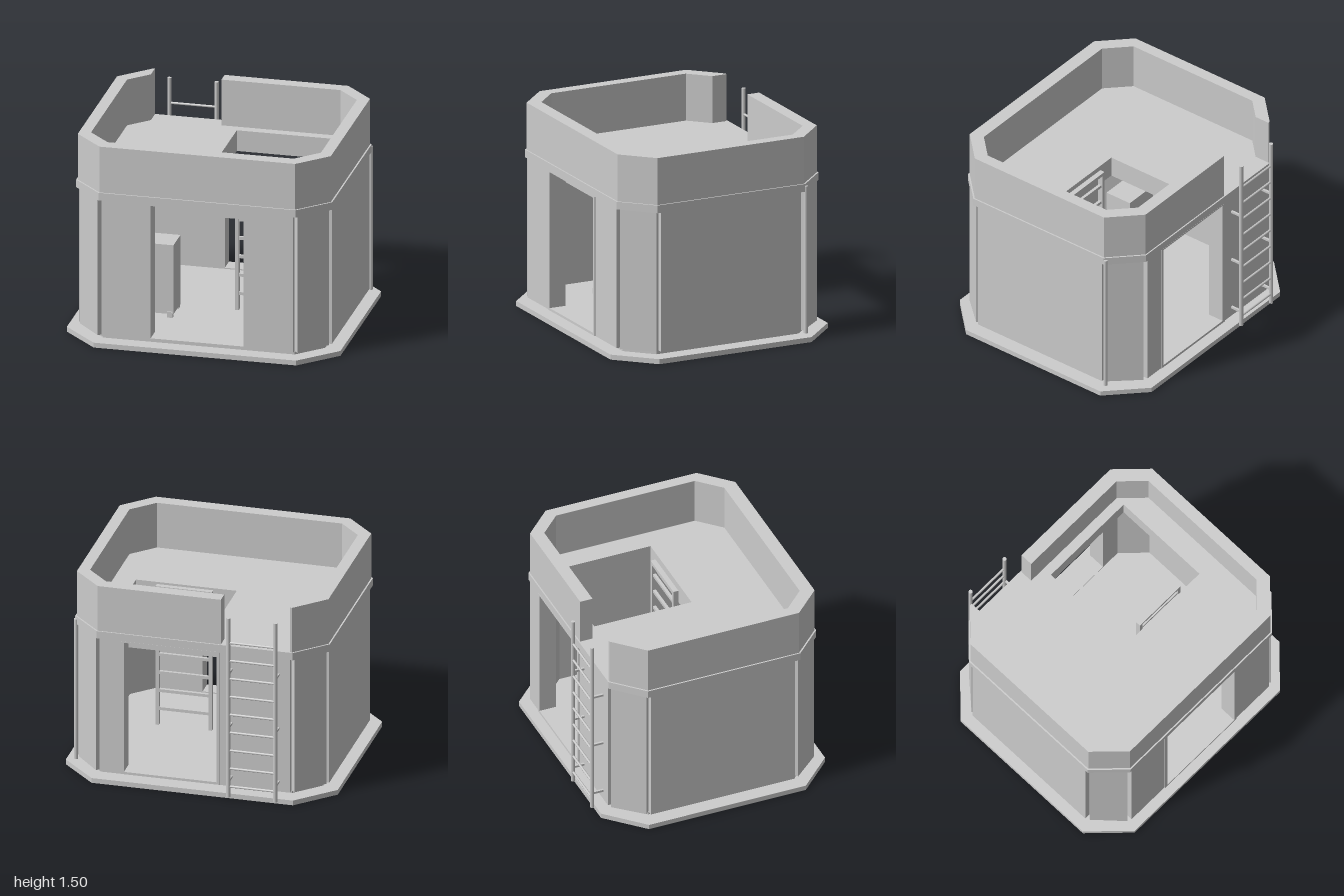
import * as THREE from 'three';

const concrete = new THREE.MeshStandardMaterial({ color: 0xcccccc });
concrete.name = 'light grey';

export function createModel() {
  const group = new THREE.Group();

  const add = (name, geometry, parent = group) => {
    const mesh = new THREE.Mesh(geometry, concrete);
    mesh.name = name;
    parent.add(mesh);
    return mesh;
  };
  // Box given by its limits on each axis
  const box = (name, x0, x1, y0, y1, z0, z1, parent) => {
    const g = new THREE.BoxGeometry(x1 - x0, y1 - y0, z1 - z0);
    g.translate((x0 + x1) / 2, (y0 + y1) / 2, (z0 + z1) / 2);
    return add(name, g, parent);
  };
  // Plan outline of [x, z] points raised from y0 to y1
  const toVectors = (pts) => pts.map(([x, z]) => new THREE.Vector2(x, -z));
  const slab = (name, pts, y0, y1, hole) => {
    const shape = new THREE.Shape(toVectors(pts));
    if (hole) shape.holes.push(new THREE.Path(toVectors(hole)));
    const g = new THREE.ExtrudeGeometry(shape, { depth: y1 - y0, bevelEnabled: false });
    g.rotateX(-Math.PI / 2);
    g.translate(0, y0, 0);
    return add(name, g);
  };
  // Rectangle with cut corners
  const octagon = (x, zf, zb, c) => [
    [x - c, zf], [x, zf - c], [x, zb + c], [x - c, zb],
    [c - x, zb], [-x, zb + c], [-x, zf - c], [c - x, zf],
  ];
  const rod = (name, x, z, y0, y1, r, parent) => {
    const g = new THREE.CylinderGeometry(r, r, y1 - y0, 10);
    g.translate(x, (y0 + y1) / 2, z);
    return add(name, g, parent);
  };

  // Base and plinth
  slab('baseSlab', octagon(1, 0.88, -0.85, 0.26), 0, 0.037);
  slab('plinth', octagon(0.88, 0.765, -0.725, 0.18), 0.037, 0.075);

  // Wall halves, with raised corner panels and notches beside them
  const wall = (name, s, frontX, backX) => {
    const half = [
      [0.70, 0.81], [0.70, 0.77], [0.73, 0.80], [0.91, 0.60], [0.88, 0.57], [0.925, 0.57],
      [0.925, -0.545], [0.88, -0.545], [0.91, -0.57], [0.73, -0.77], [0.70, -0.74], [0.70, -0.78],
    ].map(([x, z]) => [s * x, z]);
    const inner = [[0.67, -0.66], [0.83, -0.5], [0.83, 0.53], [0.67, 0.69]].map(([x, z]) => [s * x, z]);
    slab(name, [[frontX, 0.81], ...half, [backX, -0.78], [backX, -0.66], ...inner, [frontX, 0.69]], 0.065, 1.1);
  };
  wall('leftWall', 1, 0.342, 0.523);
  wall('rightWall', -1, -0.342, -0.163);

  // Door frames, front and back
  for (const [name, cx, z0, z1] of [['frontDoor', 0, 0.69, 0.816], ['backDoor', 0.18, -0.786, -0.66]]) {
    const frame = new THREE.Group();
    frame.name = name + 'Frame';
    group.add(frame);
    for (const s of [-1, 1]) {
      const a = cx + s * 0.34, b = cx + s * 0.365;
      box('jamb', Math.min(a, b), Math.max(a, b), 0.065, 1.1, z0, z1, frame);
    }
    box('lintel', cx - 0.34, cx + 0.34, 1.09, 1.1, z0, z1, frame);
    box('sill', cx - 0.365, cx + 0.365, 0.065, 0.083, z0, z1, frame);
  }

  // Roof with hatch opening
  const hatch = [[-0.06, -0.61], [0.68, -0.61], [0.68, 0.14], [-0.06, 0.14]];
  slab('ceiling', octagon(0.83, 0.69, -0.66, 0.16), 1.0, 1.1, hatch);
  slab('roofBand', octagon(0.936, 0.82, -0.785, 0.215), 1.1, 1.157, hatch);

  // Parapet with a gap for the outside ladder
  slab('parapet', [
    [-0.19, -0.775], [0.715, -0.775], [0.925, -0.565], [0.925, 0.60], [0.715, 0.81],
    [-0.715, 0.81], [-0.925, 0.60], [-0.925, -0.565], [-0.715, -0.775], [-0.70, -0.775],
    [-0.70, -0.66], [-0.84, -0.52], [-0.84, 0.55], [-0.68, 0.71],
    [0.68, 0.71], [0.84, 0.55], [0.84, -0.52], [0.68, -0.68], [-0.19, -0.68],
  ], 1.157, 1.505);

  // Outside ladder with wall brackets
  const outer = new THREE.Group();
  outer.name = 'outsideLadder';
  group.add(outer);
  for (const x of [-0.615, -0.27]) {
    rod('ladderRail', x, -0.866, 0.02, 1.412, 0.015, outer);
    for (const y of [0.14, 0.557, 0.975]) {
      box('ladderBracket', x - 0.008, x + 0.008, y - 0.008, y + 0.008, -0.86, -0.775, outer);
    }
  }
  for (let i = 0; i < 9; i++) {
    const rung = new THREE.CylinderGeometry(0.009, 0.009, 0.345, 8);
    rung.rotateZ(Math.PI / 2);
    rung.translate(-0.4425, 0.1 + i * 0.14, -0.866);
    add('ladderRung', rung, outer);
  }

  // Inside ladder up to the hatch
  const inside = new THREE.Group();
  inside.name = 'insideLadder';
  group.add(inside);
  for (const x of [0.105, 0.495]) box('ladderRail', x, x + 0.025, 0.075, 1.155, 0.072, 0.11, inside);
  for (let i = 0; i < 7; i++) {
    const y = 0.2 + i * 0.14;
    box('ladderRung', 0.13, 0.495, y - 0.011, y + 0.011, 0.08, 0.102, inside);
  }
  box('ladderTopBar', 0.13, 0.495, 1.13, 1.155, 0.072, 0.11, inside);

  // Cabinet on four feet
  const cabinet = new THREE.Group();
  cabinet.name = 'cabinet';
  group.add(cabinet);
  box('cabinetBody', -0.55, -0.285, 0.1, 0.625, 0.15, 0.36, cabinet);
  for (const x of [-0.545, -0.33]) {
    for (const z of [0.15, 0.33]) box('cabinetFoot', x, x + 0.04, 0.075, 0.118, z, z + 0.04, cabinet);
  }

  // Drain pipe
  rod('drainPipe', 0.927, -0.58, 0.05, 1.14, 0.015);

  return group;
}
